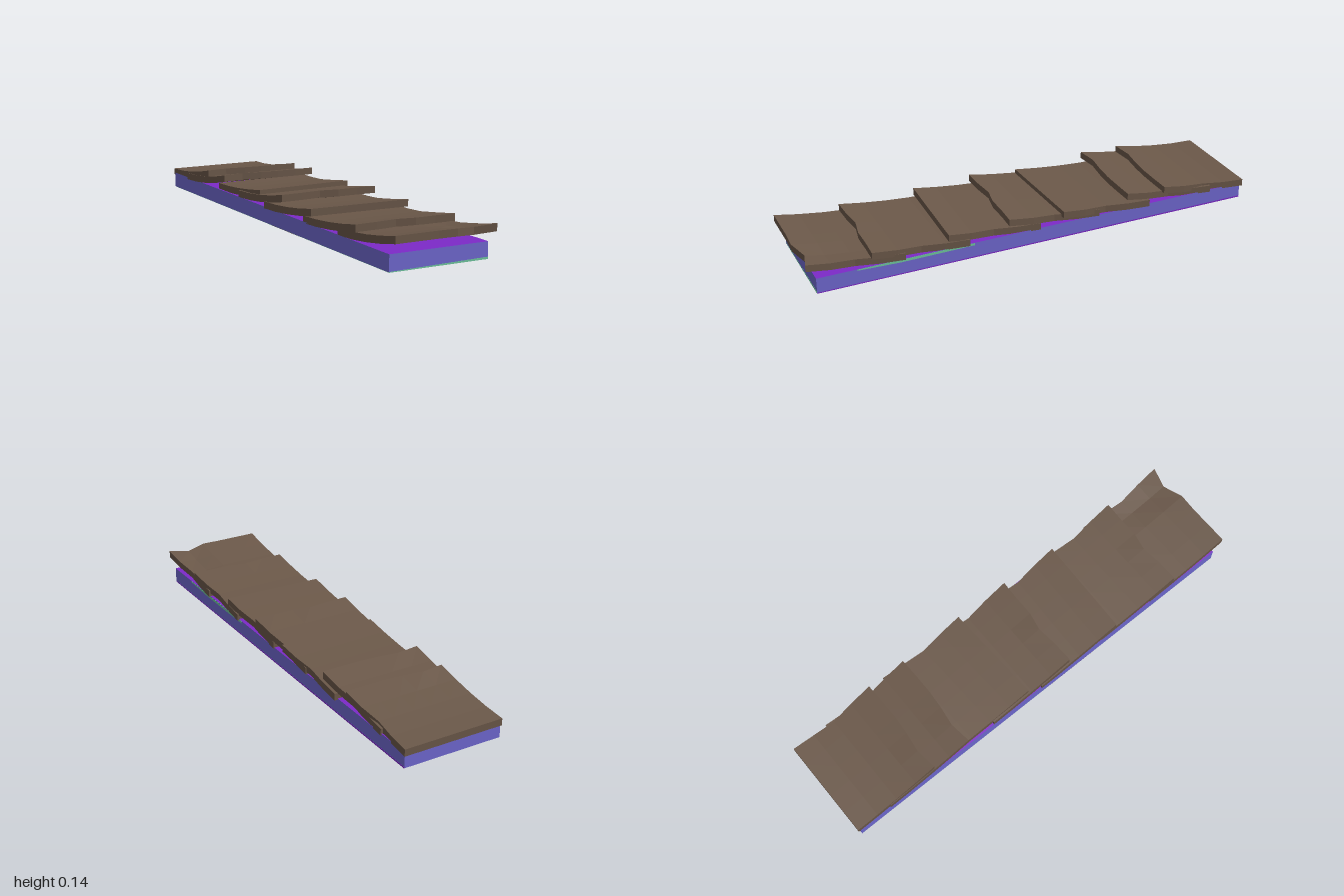
import * as THREE from 'three';

const mat = (name, color, extra = {}) => new THREE.MeshStandardMaterial({ name, color, ...extra });

export function createModel() {
  const wood = mat('brown wood', 0x6b5849, { flatShading: true });
  const blue = mat('blue core', 0x7069d2);
  const purple = mat('purple lining', 0x7d2ac8);
  const green = mat('green lining', 0x70c8a0);
  const model = new THREE.Group();
  model.name = 'shingleStrip';

  // Core slab under the shingles, with a purple top
  const slab = new THREE.Mesh(
    new THREE.BoxGeometry(0.434, 0.067, 1.938),
    [blue, blue, purple, blue, blue, blue]
  );
  slab.name = 'coreSlab';
  slab.position.set(-0.008, 0.0345, -0.02);
  model.add(slab);

  // Thin tapered plates: corners are pairs in a plane, depth is the thickness
  const plate = (name, points, material, place) => {
    const shape = new THREE.Shape(points.map(([a, b]) => new THREE.Vector2(a, b)));
    const geo = new THREE.ExtrudeGeometry(shape, { depth: 0.001, bevelEnabled: false });
    const mesh = new THREE.Mesh(geo, material);
    mesh.name = name;
    place(mesh);
    model.add(mesh);
  };
  const underneath = (m) => { m.rotation.x = Math.PI / 2; m.position.y = 0.001; };
  plate('undersidePurple', [[0.209, -0.989], [0.209, 0.94], [0.195, 0.8], [0.17, -0.96]], purple, underneath);
  plate('undersideGreen', [[-0.225, -0.98], [-0.215, -0.9], [-0.195, 0.6], [-0.215, 0.949], [-0.225, 0.949]], green, underneath);
  plate('undersideBrownPatch', [[-0.225, 0.03], [-0.195, 0.07], [-0.185, 0.15], [-0.2, 0.23], [-0.225, 0.27]], wood,
    (m) => { underneath(m); m.position.y = 0.0006; });
  plate('frontGreen', [[-0.225, 0], [0.209, 0], [0.209, 0.009], [-0.225, 0.003]], green,
    (m) => { m.position.z = 0.9485; });
  const onSide = (m) => { m.rotation.y = -Math.PI / 2; m.position.x = 0.2097; };
  plate('sidePurple', [[-0.989, 0], [0.949, 0], [0.949, 0.004], [-0.989, 0.006]], purple, onSide);
  plate('sideGreen', [[0.28, 0.057], [0.6, 0.055], [0.78, 0.062], [0.78, 0.067], [0.28, 0.067]], green, onSide);

  // Curved shingles: a box bent upwards at its front tip with worn edges
  const columns = [-0.225, -0.13, -0.04, 0.04, 0.13, 0.218];
  const wobble = [0, -0.006, -0.018, -0.009, -0.002];
  const shingle = ({ z, tip, end, shift = 0, yaw = 0, length = 0.41, edge, dip = [] }, i) => {
    const geo = new THREE.BoxGeometry(1, 1, 1, 5, 1, 4);
    const p = geo.attributes.position;
    for (let k = 0; k < p.count; k++) {
      const c = Math.round((p.getX(k) + 0.5) * 5);
      const r = Math.round((0.5 - p.getZ(k)) * 4);
      const t = r / 4;
      const worn = r === 0 ? edge[c] : 0;
      const x = columns[c] + shift + (c === 5 ? wobble[r] : 0);
      const top = end + (tip - end) * (1 - t) ** 1.8 + (dip[c] || 0) * (1 - t);
      const y = top - (p.getY(k) < 0 ? 0.03 : 0);
      p.setXYZ(k, x, y, z - t * length + worn + yaw * x);
    }
    geo.computeVertexNormals();
    const mesh = new THREE.Mesh(geo, wood);
    mesh.name = `shingle${i + 1}`;
    model.add(mesh);
  };
  const bump = [0, -0.012, 0, 0.006, 0.006, 0.004];
  const bump2 = [0, -0.003, -0.012, 0.004, 0.004, 0.008];
  const flat = [0, 0, 0, 0, 0, 0];
  [
    { z: 0.99, tip: 0.143, end: 0.096, edge: [0, 0, 0, 0.004, -0.024, 0], dip: [0, 0, 0, 0, -0.009, 0] },
    { z: 0.713, tip: 0.132, end: 0.092, edge: bump2 },
    { z: 0.387, tip: 0.132, end: 0.092, edge: flat, yaw: 0.035, shift: -0.004 },
    { z: 0.122, tip: 0.144, end: 0.097, edge: bump2 },
    { z: -0.105, tip: 0.128, end: 0.093, edge: flat, yaw: -0.045, shift: 0.008 },
    { z: -0.425, tip: 0.141, end: 0.09, edge: bump, shift: -0.003 },
    { z: -0.602, tip: 0.136, end: 0.087, edge: bump, length: 0.396 },
  ].forEach(shingle);

  return model;
}
